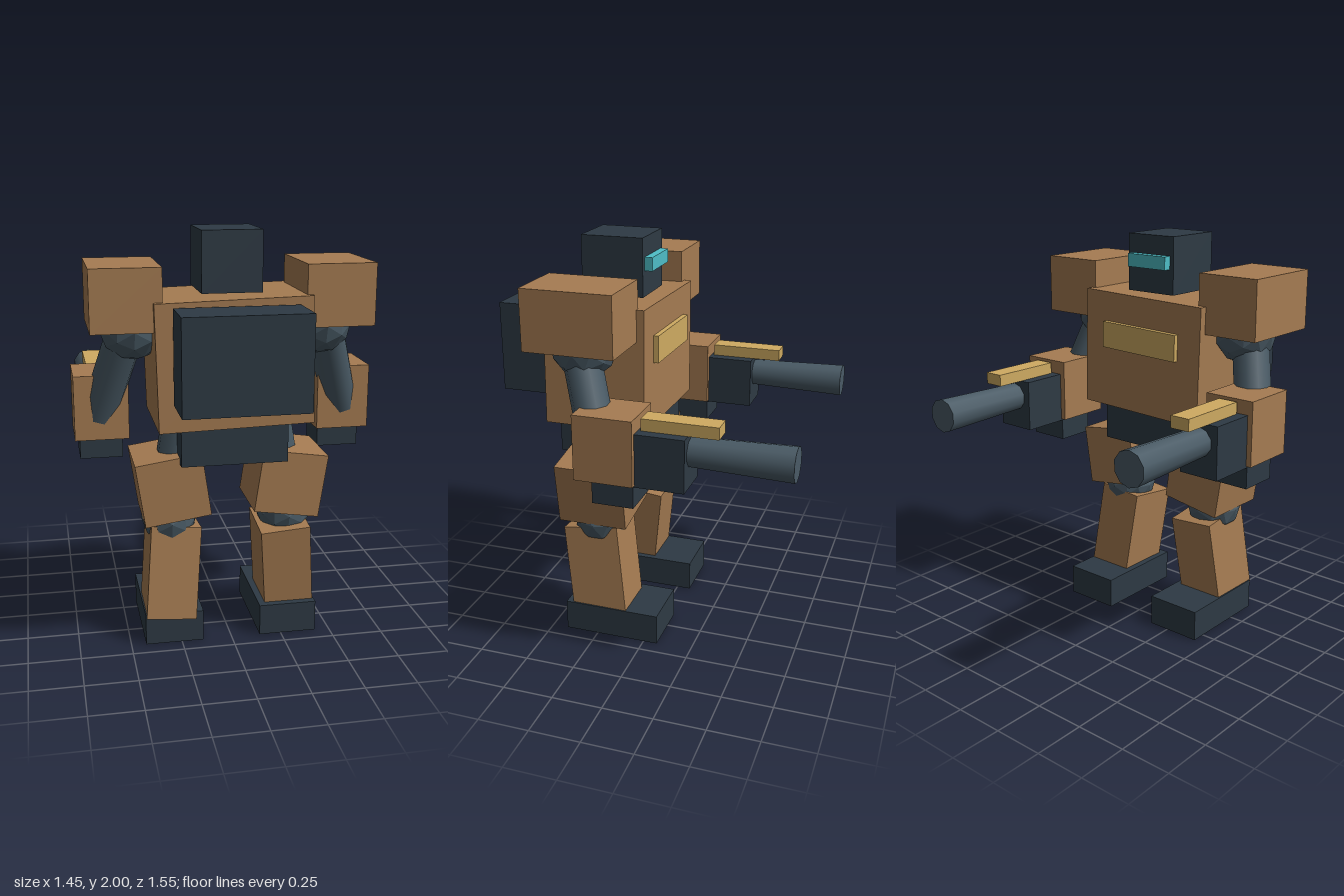
import * as THREE from 'three';

const paint = (color) => new THREE.MeshStandardMaterial({ color });
const flatPaint = (color) => {
  const m = paint(color);
  m.flatShading = true;
  return m;
};

export function createModel() {
  const tan = paint(0xa67c52), dark = paint(0x2e3a44), steel = paint(0x4a5b66);
  const gold = paint(0xcfab62), cyan = paint(0x4fbfc8), jointSteel = flatPaint(0x4a5b66);
  const rad = THREE.MathUtils.degToRad;
  const model = new THREE.Group();
  model.name = 'walkingRobot';

  // Box given by its size and centre
  function box(parent, name, mat, size, pos) {
    const mesh = new THREE.Mesh(new THREE.BoxGeometry(...size), mat);
    mesh.name = name;
    mesh.position.set(...pos);
    parent.add(mesh);
    return mesh;
  }

  // Round bar from a (radius ra) to b (radius rb)
  function bar(parent, name, a, b, ra, rb) {
    const from = new THREE.Vector3(...a), to = new THREE.Vector3(...b);
    const dir = to.clone().sub(from);
    const mesh = new THREE.Mesh(new THREE.CylinderGeometry(rb, ra, dir.length(), 10), steel);
    mesh.name = name;
    mesh.position.copy(from).add(to).multiplyScalar(0.5);
    mesh.quaternion.setFromUnitVectors(new THREE.Vector3(0, 1, 0), dir.normalize());
    parent.add(mesh);
  }

  // Faceted ball joint
  function joint(parent, name, r, pos) {
    const mesh = new THREE.Mesh(new THREE.IcosahedronGeometry(r, 1), jointSteel);
    mesh.name = name;
    mesh.position.set(...pos);
    parent.add(mesh);
  }

  // Torso, leaning slightly, with the chest band running through it
  const torso = new THREE.Group();
  torso.name = 'torso';
  torso.position.set(-0.002, 1.406, 0.258);
  torso.rotation.z = rad(1.5);
  model.add(torso);
  box(torso, 'chest', tan, [0.728, 0.594, 0.506], [0, 0, 0]);
  box(torso, 'chestBand', gold, [0.462, 0.133, 0.55], [0, 0.082, -0.003]);

  // Head, pelvis and backpack
  box(model, 'head', dark, [0.284, 0.284, 0.31], [0, 1.858, 0.241]);
  box(model, 'visor', cyan, [0.235, 0.065, 0.06], [-0.002, 1.873, 0.077]);
  box(model, 'pelvis', dark, [0.506, 0.24, 0.46], [-0.002, 1.048, 0.26]);
  box(model, 'backpack', dark, [0.58, 0.44, 0.243], [-0.002, 1.456, 0.65]);

  for (const s of [-1, 1]) {
    // Arm
    const arm = new THREE.Group();
    arm.name = s > 0 ? 'leftArm' : 'rightArm';
    model.add(arm);
    box(arm, 'shoulderArmor', tan, [0.325, 0.29, 0.438], [s * 0.493, 1.705, 0.262]);
    joint(arm, 'shoulderJoint', 0.155, [s * 0.45, 1.55, 0.263]);
    bar(arm, 'upperArm', [s * 0.472, 1.55, 0.277], [s * 0.607, 1.1, 0.136], 0.09, 0.09);
    box(arm, 'forearm', tan, [0.26, 0.315, 0.285], [s * 0.597, 1.158, 0.078]);
    box(arm, 'hand', dark, [0.208, 0.16, 0.2], [s * 0.598, 0.966, 0.042]);

    // Forearm gun
    box(arm, 'gunBody', dark, [0.206, 0.255, 0.28], [s * 0.598, 1.12, -0.158]);
    box(arm, 'gunRail', gold, [0.1, 0.058, 0.362], [s * 0.599, 1.276, -0.259]);
    bar(arm, 'gunBarrel', [s * 0.599, 1.158, -0.27], [s * 0.599, 1.158, -0.778], 0.07, 0.084);

    // Leg: the shins lean opposite ways in the stride
    const leg = new THREE.Group();
    leg.name = s > 0 ? 'leftLeg' : 'rightLeg';
    model.add(leg);
    bar(leg, 'upperLeg', [s * 0.22, 1.06, 0.262], [s * 0.288, 0.62, 0.262], 0.102, 0.108);
    const thigh = box(leg, 'thighArmor', tan, [0.32, 0.31, 0.35], [s * 0.285, 0.796, 0.265]);
    thigh.rotation.z = -s * rad(8.5);
    joint(leg, 'kneeJoint', 0.138, [s * 0.288, 0.61, 0.265]);
    const shin = box(leg, 'shinArmor', tan, [0.245, 0.463, 0.284], [s * 0.283, 0.342, 0.263]);
    shin.rotation.set(s * rad(7), 0, s * rad(4.6));
    box(leg, 'foot', dark, [0.285, 0.156, 0.49], [s * 0.285, 0.078, 0.174]);
  }
  return model;
}
